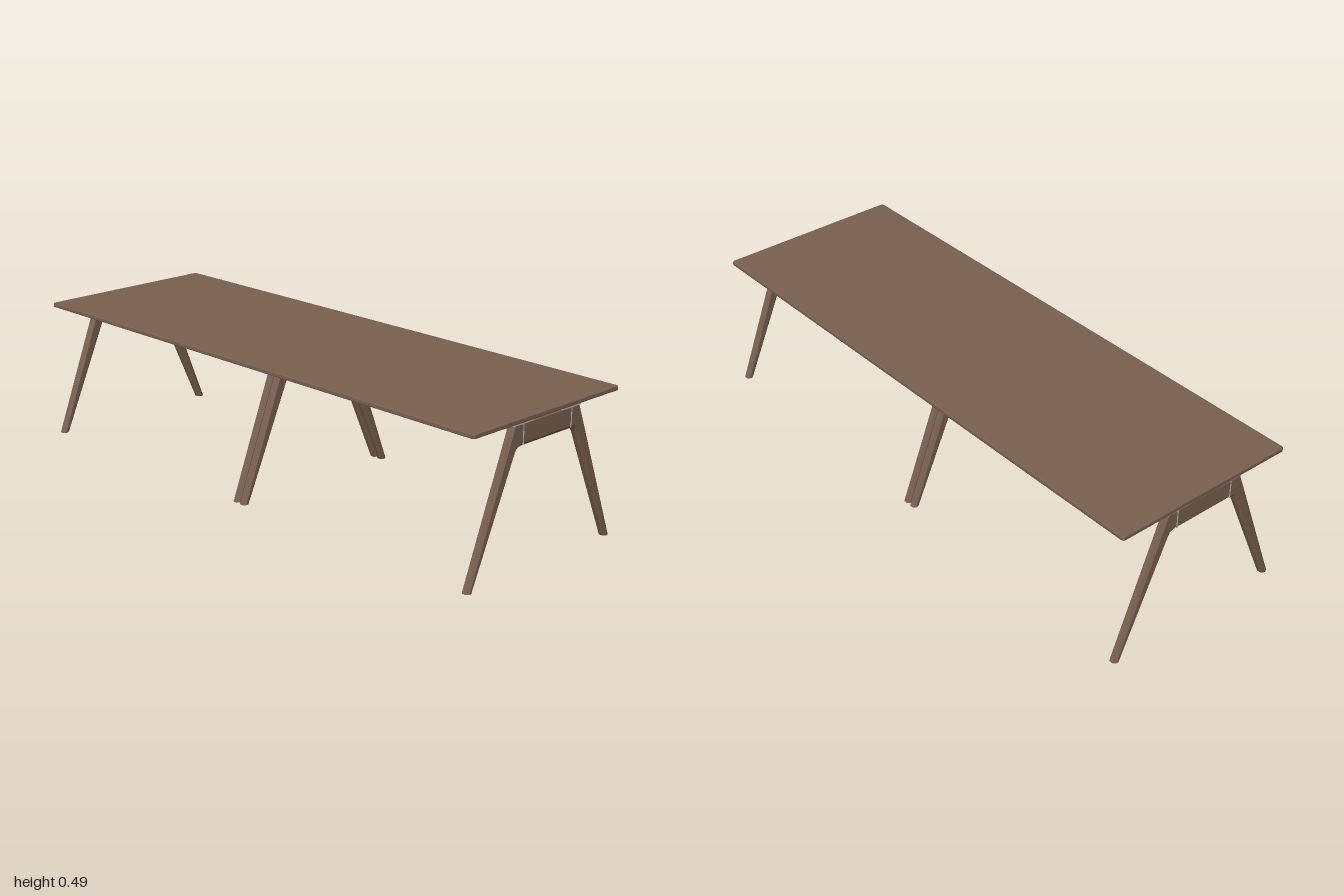
import * as THREE from 'three';

const wood = new THREE.MeshStandardMaterial({ color: 0x7a604f });
wood.name = 'brown wood';
const metal = new THREE.MeshStandardMaterial({ color: 0xbab7ae });
metal.name = 'pale grey metal';

const TOP_Y = 0.488, PLATE_TOP = 0.473, FRAME_TOP = 0.467;
const DEPTH = 0.028, CHAMFER = 0.007;

function add(group, name, geometry, material) {
  const mesh = new THREE.Mesh(geometry, material);
  mesh.name = name;
  group.add(mesh);
  return mesh;
}

// Shape from a list of [x, y] corners
const polygon = pts => new THREE.Shape(pts.map(p => new THREE.Vector2(...p)));

// Tabletop slab with eased edges
function topGeometry() {
  const b = 0.003, x = 1 - b, z = 0.333 - b, c = 0.004;
  const shape = polygon([[-x + c, -z], [x - c, -z], [x, -z + c], [x, z - c],
    [x - c, z], [-x + c, z], [-x, z - c], [-x, -z + c]]);
  const g = new THREE.ExtrudeGeometry(shape, {
    depth: TOP_Y - PLATE_TOP - 2 * b, bevelEnabled: true,
    bevelThickness: b, bevelSize: b, bevelSegments: 2,
  });
  g.rotateX(-Math.PI / 2);
  g.translate(0, PLATE_TOP + b, 0);
  return g;
}

// A-frame: chamfered cross-sections swept up one leg, along the beam and down the other.
// Each station is [z, y] for outer edge, outer crease, inner crease, inner edge.
function frameGeometry() {
  const half = [
    [[0.334, 0], [0.325, 0], [0.317, 0], [0.308, 0]],
    [[0.186, 0.385], [0.177, 0.385], [0.147, 0.385], [0.137, 0.385]],
    [[0.154, FRAME_TOP], [0.146, FRAME_TOP], [0.138, 0.402], [0.130, 0.394]],
    [[0.13, FRAME_TOP], [0.13, FRAME_TOP], [0.127, 0.408], [0.122, 0.399]],
    [[0.113, FRAME_TOP], [0.113, FRAME_TOP], [0.115, 0.41], [0.113, 0.4]],
  ];
  const mirrored = half.map(s => s.map(([z, y]) => [-z, y])).reverse();
  const rings = [...half, ...mirrored].map(([o, c, d, i]) => {
    const lo = CHAMFER, hi = DEPTH - CHAMFER;
    return [[lo, o], [0, c], [0, d], [lo, i], [hi, i], [DEPTH, d], [DEPTH, c], [hi, o]]
      .map(([x, [z, y]]) => [x, y, z]);
  });
  const pos = [];
  const tri = (a, b, c) => pos.push(...a, ...b, ...c);
  for (let s = 0; s < rings.length - 1; s++) {
    for (let j = 0; j < 8; j++) {
      const k = (j + 1) % 8, p = rings[s], q = rings[s + 1];
      tri(p[j], q[j], q[k]);
      tri(p[j], q[k], p[k]);
    }
  }
  // Feet
  const first = rings[0], last = rings[rings.length - 1];
  for (let j = 1; j < 7; j++) {
    tri(first[0], first[j], first[j + 1]);
    tri(last[0], last[j + 1], last[j]);
  }
  const g = new THREE.BufferGeometry();
  g.setAttribute('position', new THREE.Float32BufferAttribute(pos, 3));
  g.computeVertexNormals();
  return g;
}

// Upright bracket fin, passing through the beam to its outer face
function finGeometry() {
  const thick = 0.004;
  const shape = polygon([[-0.001, FRAME_TOP], [-0.001, 0.405], [DEPTH, 0.405],
    [0.031, 0.42], [0.036, 0.427], [0.046, 0.432], [0.165, 0.454],
    [0.171, 0.459], [0.171, FRAME_TOP]]);
  const g = new THREE.ExtrudeGeometry(shape, { depth: thick, bevelEnabled: false });
  g.translate(0, 0, -thick / 2);
  return g;
}

// One frame with its pair of brackets; outer face at x = 0, brackets towards +x
function makeSupport() {
  const group = new THREE.Group();
  add(group, 'legFrame', frameGeometry(), wood);
  for (const side of [1, -1]) {
    add(group, 'bracketFin', finGeometry(), metal).position.z = side * 0.11;
    const plate = new THREE.BoxGeometry(0.171, PLATE_TOP - FRAME_TOP, 0.084);
    add(group, 'bracketPlate', plate, metal)
      .position.set(0.0855, (PLATE_TOP + FRAME_TOP) / 2, side * 0.11);
  }
  return group;
}

export function createModel() {
  const model = new THREE.Group();
  model.name = 'longTable';
  add(model, 'tabletop', topGeometry(), wood);
  const places = [['leftEnd', 0.995, true], ['leftMiddle', 0.002, false],
    ['rightMiddle', -0.002, true], ['rightEnd', -0.995, false]];
  for (const [name, x, turned] of places) {
    const support = makeSupport();
    support.name = name + 'Support';
    support.position.x = x;
    if (turned) support.rotation.y = Math.PI;
    model.add(support);
  }
  return model;
}
